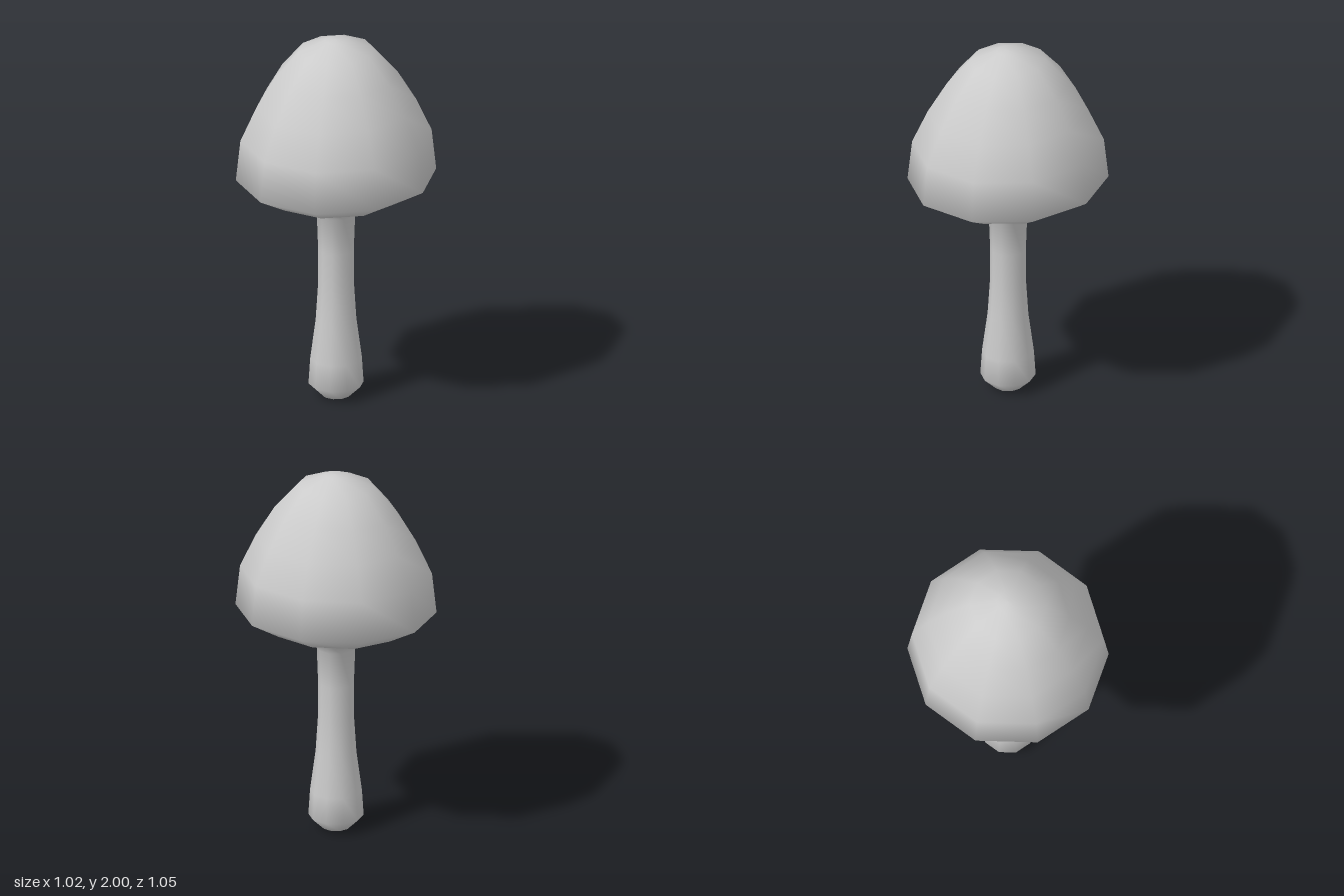
import * as THREE from 'three';

const SIDES = 10;

// Radius and height, from the foot up the stem, under the cap and over its dome
const PROFILE = [
  [0, 0], [0.075, 0.003], [0.145, 0.07], [0.136, 0.21], [0.107, 0.43], [0.095, 0.62],
  [0.094, 0.82], [0.101, 1.02],
  [0.19, 1.112], [0.36, 1.145], [0.527, 1.24], [0.503, 1.46], [0.42, 1.64],
  [0.323, 1.8], [0.2, 1.94], [0.06, 1.997], [0, 2],
];
const CAP_START = 8; // profile point where the stem flare meets the cap

// Keep only the bands of the surface between two profile points
function bands(surface, from, to) {
  const perSide = PROFILE.length - 1;
  const geometry = new THREE.BufferGeometry();
  for (const name of ['position', 'normal', 'uv']) geometry.setAttribute(name, surface.getAttribute(name).clone());
  geometry.setIndex(Array.from(surface.index.array).filter((_, k) => {
    const band = Math.floor(k / 6) % perSide;
    return band >= from && band < to;
  }));
  return geometry;
}

export function createModel() {
  const group = new THREE.Group();
  group.name = 'mushroom';
  const material = new THREE.MeshStandardMaterial({ color: 0xcccccc });

  // One smooth turned surface, so the shading flows from stem into cap
  const surface = new THREE.LatheGeometry(
    PROFILE.map(([r, y]) => new THREE.Vector2(r, y)), SIDES, THREE.MathUtils.degToRad(4));

  // Tilt the cap slightly, rising to the left and to the back
  const p = surface.getAttribute('position');
  for (let i = 0; i < p.count; i++) {
    if (p.getY(i) > 1.05) p.setY(i, p.getY(i) + 0.034 * p.getX(i) - 0.028 * p.getZ(i));
  }

  const stem = new THREE.Mesh(bands(surface, 0, CAP_START), material);
  stem.name = 'stem';
  const cap = new THREE.Mesh(bands(surface, CAP_START, PROFILE.length - 1), material);
  cap.name = 'cap';
  group.add(stem, cap);
  return group;
}
